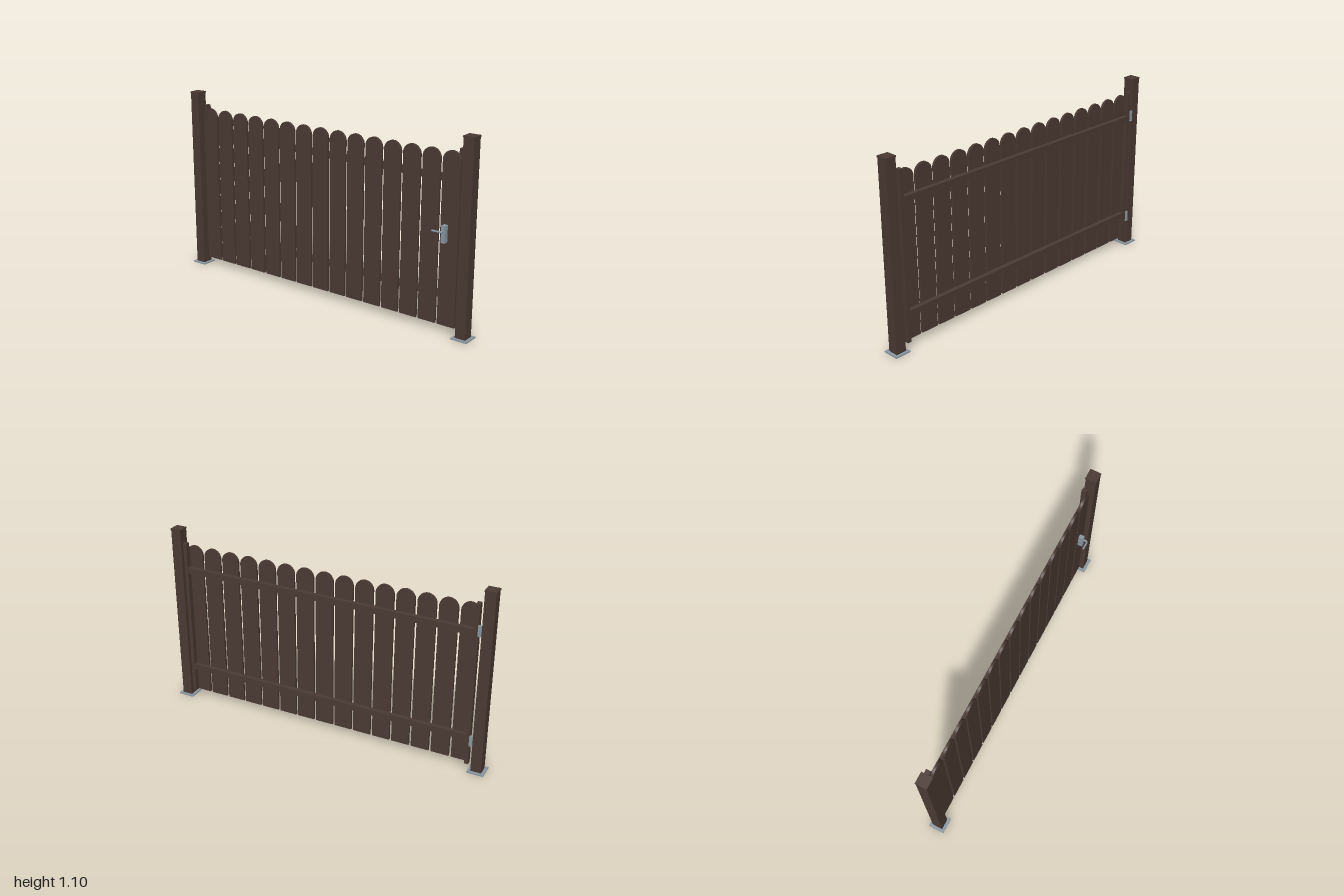
import * as THREE from 'three';

const wood = new THREE.MeshStandardMaterial({ color: 0x4b3a33 });
wood.name = 'dark brown wood';
const metal = new THREE.MeshStandardMaterial({ color: 0x8a98a2 });
metal.name = 'grey metal';

// Box given by its minimum and maximum corners
function box(parent, name, material, [x0, y0, z0], [x1, y1, z1]) {
  const mesh = new THREE.Mesh(new THREE.BoxGeometry(x1 - x0, y1 - y0, z1 - z0), material);
  mesh.position.set((x0 + x1) / 2, (y0 + y1) / 2, (z0 + z1) / 2);
  mesh.name = name;
  parent.add(mesh);
  return mesh;
}

function createPost(side) {
  const post = new THREE.Group();
  post.name = side > 0 ? 'leftPost' : 'rightPost';
  box(post, 'basePlate', metal, [-0.0485, 0, -0.0485], [0.0485, 0.007, 0.0485]);
  box(post, 'postShaft', wood, [-0.031, 0.007, -0.031], [0.031, 1.094, 0.031]);
  box(post, 'postCap', wood, [-0.0335, 1.094, -0.0335], [0.0335, 1.103, 0.0335]);
  post.position.set(side * 0.9515, 0, -0.009);
  return post;
}

// Upright board with a round top
function picketGeometry() {
  const r = 0.0535, bottom = 0.046, top = 1.01;
  const shape = new THREE.Shape();
  shape.moveTo(-r, bottom);
  shape.lineTo(r, bottom);
  shape.lineTo(r, top - r);
  shape.absarc(0, top - r, r, 0, Math.PI, false);
  shape.closePath();
  return new THREE.ExtrudeGeometry(shape, { depth: 0.014, bevelEnabled: false, curveSegments: 20 });
}

function createHandle() {
  const handle = new THREE.Group();
  handle.name = 'handle';
  box(handle, 'handlePlate', metal, [0.816, 0.517, 0], [0.839, 0.613, 0.029]);
  // Lever bends from the plate out towards the middle of the gate
  const path = new THREE.CurvePath();
  const a = new THREE.Vector3(0.829, 0.584, 0.027), b = new THREE.Vector3(0.829, 0.584, 0.045);
  const corner = new THREE.Vector3(0.829, 0.584, 0.053);
  const c = new THREE.Vector3(0.821, 0.584, 0.053), d = new THREE.Vector3(0.777, 0.584, 0.053);
  path.add(new THREE.LineCurve3(a, b));
  path.add(new THREE.QuadraticBezierCurve3(b, corner, c));
  path.add(new THREE.LineCurve3(c, d));
  const lever = new THREE.Mesh(new THREE.TubeGeometry(path, 40, 0.0055, 12), metal);
  lever.name = 'lever';
  handle.add(lever);
  const end = new THREE.Mesh(new THREE.SphereGeometry(0.0055, 12, 8), metal);
  end.name = 'leverEnd';
  end.position.copy(d);
  handle.add(end);
  return handle;
}

export function createModel() {
  const model = new THREE.Group();
  model.name = 'picketGate';
  for (const side of [-1, 1]) model.add(createPost(side));

  const gate = new THREE.Group();
  gate.name = 'gateLeaf';
  model.add(gate);

  // Row of pickets
  const board = picketGeometry();
  const count = 15, reach = 0.847;
  for (let i = 0; i < count; i++) {
    const picket = new THREE.Mesh(board, wood);
    picket.name = 'picket';
    picket.position.set(-reach + (2 * reach * i) / (count - 1), 0, -0.014);
    gate.add(picket);
  }

  // Frame behind the pickets
  for (const side of [-1, 1]) {
    const x = side * 0.893;
    box(gate, 'stile', wood, [x - 0.0115, 0.046, -0.042], [x + 0.0115, 1.025, -0.014]);
  }
  for (const y of [0.195, 0.839]) {
    box(gate, 'rail', wood, [-0.882, y, -0.041], [0.882, y + 0.036, -0.014]);
  }

  // Hinges between the right post and its stile
  for (const y of [0.167, 0.84]) {
    box(gate, 'hinge', metal, [-0.921, y, -0.048], [-0.902, y + 0.065, -0.036]);
  }

  gate.add(createHandle());
  return model;
}
